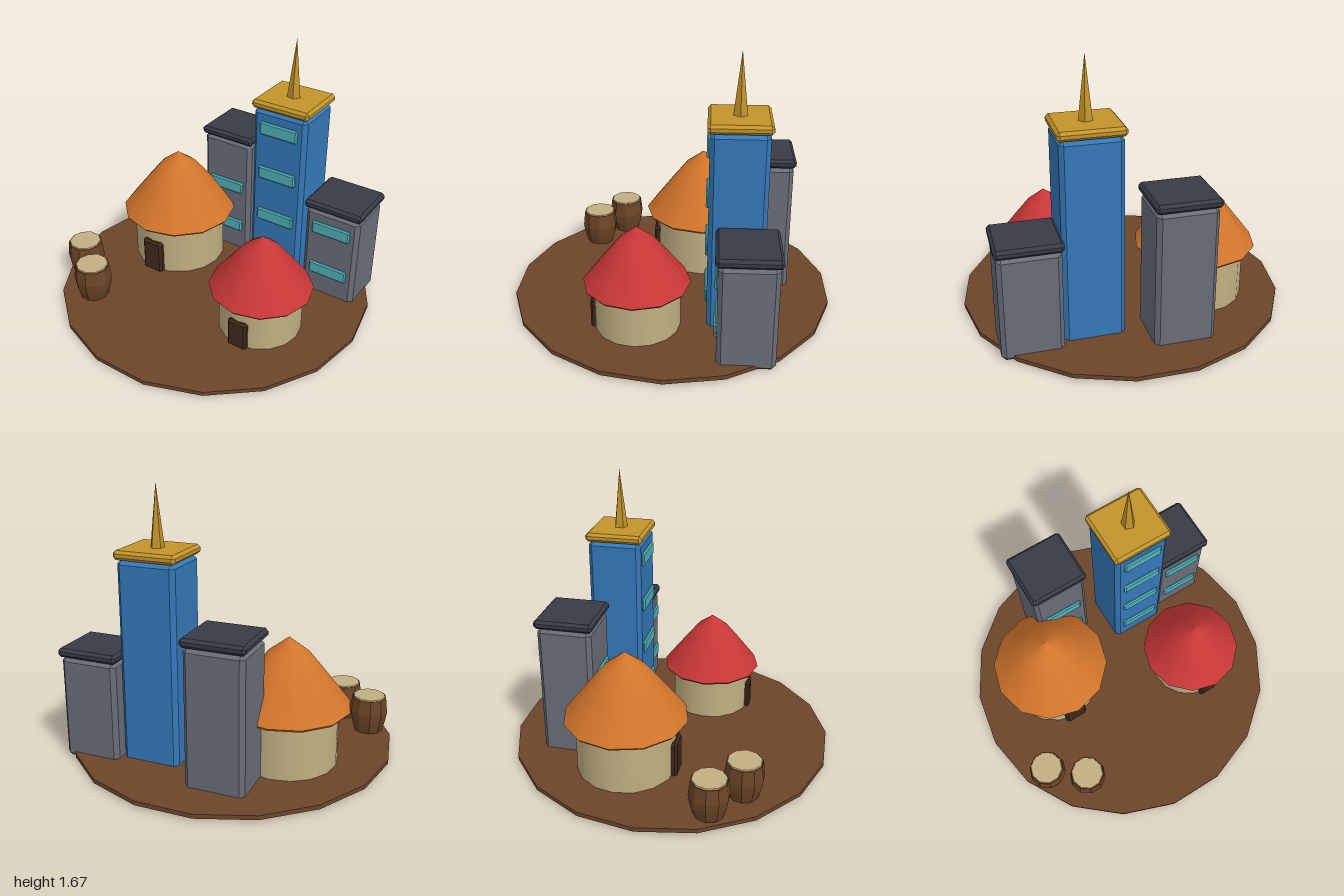
import * as THREE from 'three';
import { ConvexGeometry } from 'three/addons/geometries/ConvexGeometry.js';

const mat = (color, flatShading = false) => new THREE.MeshStandardMaterial({ color, flatShading });
const M = {
  ground: mat(0x6b452a, true), clay: mat(0xc2b083), door: mat(0x40291a, true),
  orange: mat(0xd2752b), red: mat(0xc83737), wood: mat(0x6b4526, true), skin: mat(0xc2b083, true),
  blue: mat(0x3478b8, true), grey: mat(0x696d78, true), cap: mat(0x383a45, true),
  gold: mat(0xc2942a, true), glass: mat(0x4fb0b8, true),
};

function add(parent, name, geometry, material, x = 0, y = 0, z = 0) {
  const mesh = new THREE.Mesh(geometry, material);
  mesh.name = name;
  mesh.position.set(x, y, z);
  parent.add(mesh);
  return mesh;
}

function subgroup(parent, name, x, z) {
  const g = new THREE.Group();
  g.name = name;
  g.position.set(x, 0, z);
  parent.add(g);
  return g;
}

// Box with a single flat chamfer on every edge
function chamferBox(w, h, d, b) {
  const pts = [];
  for (const sx of [-1, 1]) for (const sy of [-1, 1]) for (const sz of [-1, 1]) {
    const [x, y, z] = [w / 2, h / 2, d / 2];
    pts.push(
      new THREE.Vector3(sx * x, sy * (y - b), sz * (z - b)),
      new THREE.Vector3(sx * (x - b), sy * y, sz * (z - b)),
      new THREE.Vector3(sx * (x - b), sy * (y - b), sz * z));
  }
  return new ConvexGeometry(pts);
}

const lathe = (points, sides) =>
  new THREE.LatheGeometry(points.map(([r, y]) => new THREE.Vector2(r, y)), sides);

// Round hut: clay wall, curved conical roof with closed underside, door
function hut(parent, name, x, z, s, roofMat) {
  const g = subgroup(parent, name, x, z);
  const [r, eave, rise, roofR] = [0.303 * s, 0.385 * s, 0.415 * s, 0.375 * s];
  add(g, 'wall', new THREE.CylinderGeometry(r, r, eave, 16), M.clay, 0, eave / 2, 0);
  add(g, 'roof', lathe([
    [roofR, 0], [roofR * 0.57, rise * 0.5], [roofR * 0.32, rise * 0.78], [0, rise],
  ], 12), roofMat, 0, eave, 0);
  add(g, 'roofUnderside', lathe([[0, -0.015 * s], [roofR * 0.97, -0.015 * s], [roofR, 0]], 12), roofMat, 0, eave, 0);
  const h = 0.26 * s;
  add(g, 'door', chamferBox(0.15 * s, h, 0.06 * s, 0.015 * s), M.door, 0, h / 2, r - 0.01 * s);
}

// Square building with overhanging cap and window bands on the front
function building(parent, name, x, z, height, rows, bodyMat, capMat) {
  const g = subgroup(parent, name, x, z);
  const depth = 0.333;
  add(g, 'body', chamferBox(0.36, height, depth, 0.026), bodyMat, 0, height / 2, 0);
  add(g, 'roofCap', chamferBox(0.385, 0.055, 0.36, 0.017), capMat, 0, height + 0.027, 0);
  for (let i = 0; i < rows; i++)
    add(g, 'window', chamferBox(0.255, 0.085, 0.03, 0.009), M.glass, 0, 0.22 + i * 0.304, depth / 2);
  return g;
}

// Barrel-shaped drum with a stretched skin on top
function drum(parent, x, z) {
  const g = subgroup(parent, 'drum', x, z);
  g.rotation.y = Math.PI / 2;
  add(g, 'drumBody', lathe([
    [0, 0.035], [0.088, 0.035], [0.11, 0.11], [0.119, 0.17], [0.108, 0.265], [0, 0.265],
  ], 10), M.wood);
  add(g, 'drumSkin', new THREE.CylinderGeometry(0.1, 0.104, 0.014, 10), M.skin, 0, 0.266, 0);
}

export function createModel() {
  const model = new THREE.Group();
  model.name = 'village';

  const ground = add(model, 'ground', new THREE.CylinderGeometry(1, 1, 0.026, 18), M.ground, 0, 0.026, 0);
  ground.rotation.y = Math.PI / 2;

  hut(model, 'largeHut', -0.425, -0.187, 1, M.orange);
  hut(model, 'smallHut', 0.452, 0.18, 0.845, M.red);

  building(model, 'leftBuilding', -0.185, -0.577, 0.86, 2, M.grey, M.cap);
  building(model, 'rightBuilding', 0.667, -0.453, 0.645, 2, M.grey, M.cap);
  const tower = building(model, 'tower', 0.3, -0.395, 1.25, 4, M.blue, M.gold);
  const spire = add(tower, 'spire', new THREE.ConeGeometry(0.043, 0.37, 5), M.gold, 0, 1.485, 0);
  spire.rotation.y = Math.PI / 2;

  drum(model, -0.788, 0.378);
  drum(model, -0.58, 0.545);
  return model;
}
